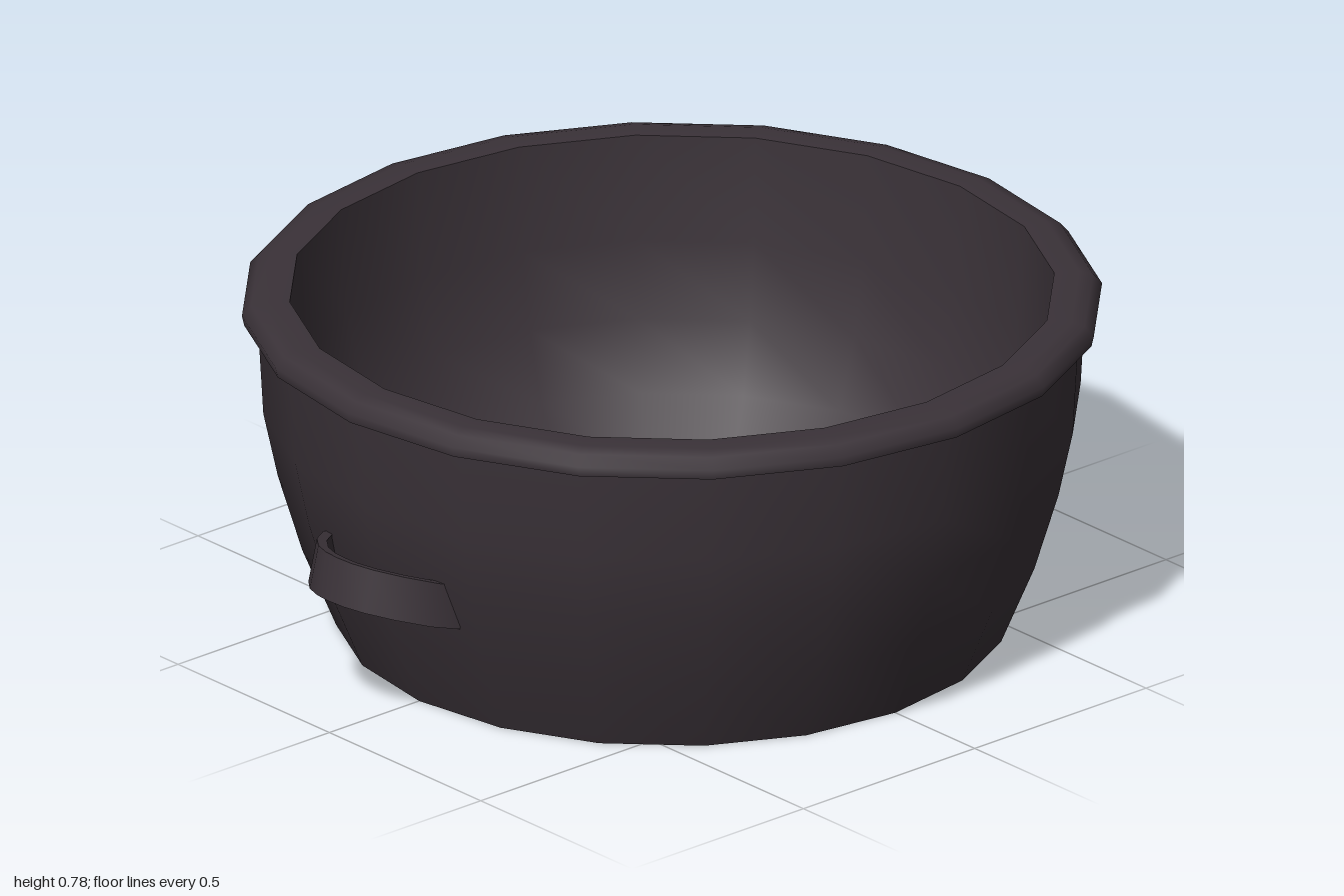
import * as THREE from 'three';
import { toCreasedNormals } from 'three/addons/utils/BufferGeometryUtils.js';

const SIDES = 20;
const iron = new THREE.MeshStandardMaterial({ color: 0x3a3238 });
iron.name = 'darkIron';

// Turned part from [radius, height] points; separate parts keep hard edges between them
function turned(name, points) {
  const profile = points.map(([r, y]) => new THREE.Vector2(r, y));
  const mesh = new THREE.Mesh(new THREE.LatheGeometry(profile, SIDES), iron);
  mesh.name = name;
  return mesh;
}

// Curved strap: a rectangular section swept along a tilted arc
function strapGeometry() {
  const path = [
    [0.79, 0.2], [0.855, 0.183], [0.915, 0.135], [0.955, 0.085], [0.974, 0.04], [0.978, 0],
  ];
  const arc = [...path, ...path.slice(0, -1).reverse().map(([x, z]) => [x, -z])];
  const tilt = 0.28, halfThick = 0.011;
  const widthX = -0.0125, widthY = 0.048;
  const positions = [], indices = [];
  arc.forEach(([x, z], i) => {
    const a = arc[Math.max(i - 1, 0)], b = arc[Math.min(i + 1, arc.length - 1)];
    const n = new THREE.Vector2(a[1] - b[1], b[0] - a[0]).normalize().multiplyScalar(halfThick);
    const y = 0.306 + (x - 0.79) * tilt;
    for (const [out, up] of [[1, -1], [1, 1], [-1, 1], [-1, -1]]) {
      positions.push(x + out * n.x + up * widthX, y + out * n.x * tilt + up * widthY, z + out * n.y);
    }
  });
  for (let i = 0; i < arc.length - 1; i++) {
    for (let k = 0; k < 4; k++) {
      const a = i * 4 + k, b = i * 4 + (k + 1) % 4;
      indices.push(a, a + 4, b, b, a + 4, b + 4);
    }
  }
  // end caps
  const e = (arc.length - 1) * 4;
  indices.push(0, 1, 2, 0, 2, 3, e, e + 2, e + 1, e, e + 3, e + 2);
  const geometry = new THREE.BufferGeometry();
  geometry.setAttribute('position', new THREE.Float32BufferAttribute(positions, 3));
  geometry.setIndex(indices);
  return toCreasedNormals(geometry, 0.8);
}

export function createModel() {
  const pot = new THREE.Group();
  pot.name = 'pot';

  // Body, from the underside round the rim to the inner floor
  pot.add(
    turned('base', [[0, 0], [0.738, 0]]),
    turned('outerWall', [[0.738, 0], [0.812, 0.18], [0.866, 0.36], [0.898, 0.51], [0.91, 0.725]]),
    turned('rimUnderside', [[0.905, 0.722], [0.94, 0.722]]),
    turned('rim', [[0.94, 0.722], [0.945, 0.745], [0.925, 0.768], [0.895, 0.776], [0.84, 0.774]]),
    turned('innerWall', [[0.84, 0.774], [0.825, 0.53], [0.785, 0.36], [0.72, 0.21], [0.617, 0.1]]),
    turned('floor', [[0.617, 0.1], [0, 0.1]]),
  );

  // Side handles
  const strap = strapGeometry();
  for (const side of ['left', 'right']) {
    const handle = new THREE.Mesh(strap, iron);
    handle.name = side + 'Handle';
    handle.rotation.y = side === 'left' ? 0 : Math.PI;
    pot.add(handle);
  }
  return pot;
}
